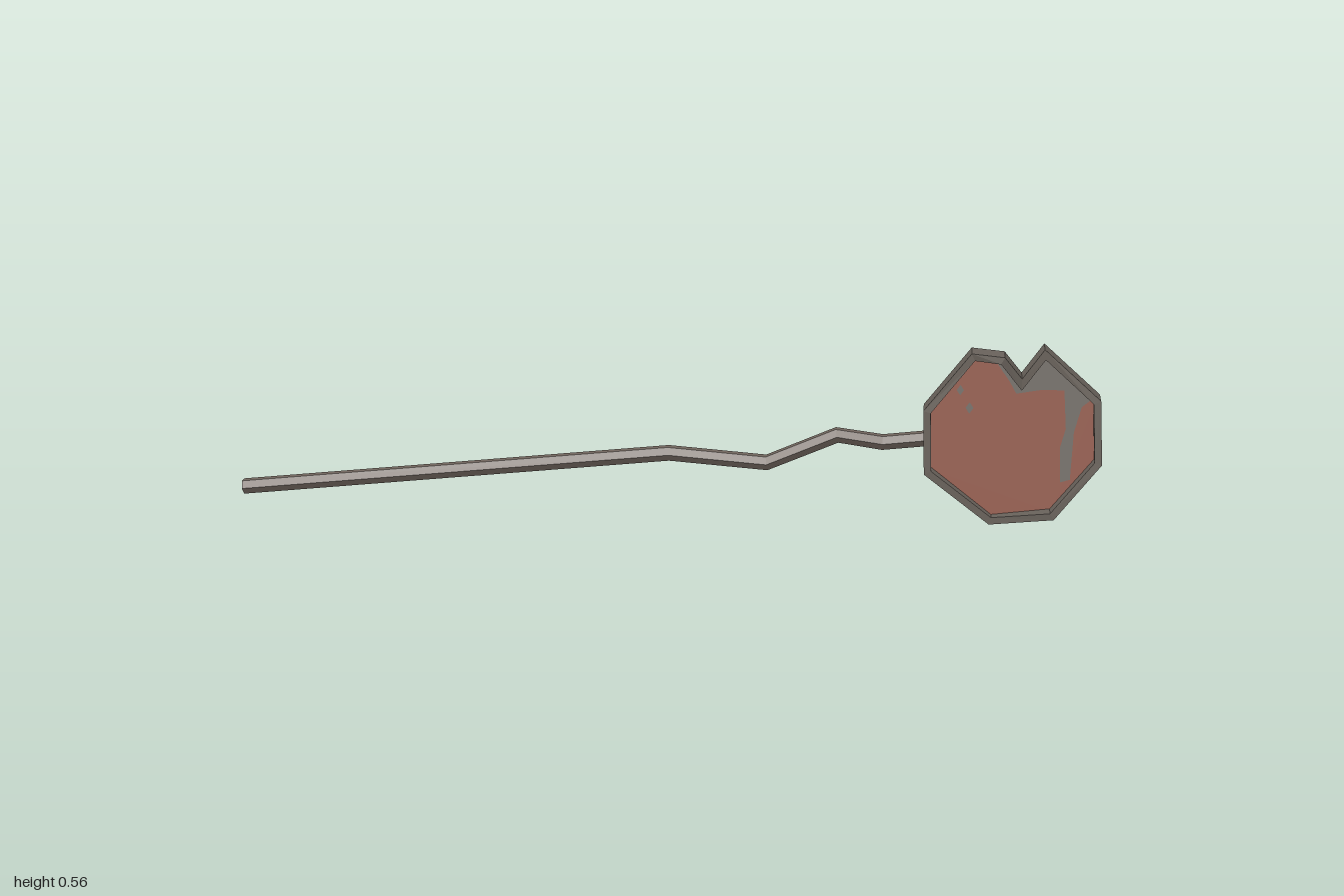
import * as THREE from 'three';

// Joins cross-sections (rings of points) into a faceted skin.
function loft(rings, closed) {
  const n = rings[0].length, pos = [], idx = [];
  rings.forEach(r => r.forEach(p => pos.push(p.x, p.y, p.z)));
  const last = closed ? rings.length : rings.length - 1;
  for (let i = 0; i < last; i++) {
    const k = (i + 1) % rings.length;
    for (let j = 0; j < n; j++) {
      const m = (j + 1) % n;
      const a = i * n + j, b = i * n + m, c = k * n + m, d = k * n + j;
      idx.push(a, b, c, a, c, d);
    }
  }
  if (!closed) {
    const e = (rings.length - 1) * n;
    for (let j = 1; j < n - 1; j++) idx.push(0, j + 1, j, e, e + j, e + j + 1);
  }
  const g = new THREE.BufferGeometry();
  g.setAttribute('position', new THREE.Float32BufferAttribute(pos, 3));
  g.setIndex(idx);
  const flat = g.toNonIndexed();
  flat.computeVertexNormals();
  return flat;
}

// Moves a clockwise outline inwards by t, with mitred corners.
function inset(pts, t) {
  return pts.map((p, i) => {
    const a = pts[(i + pts.length - 1) % pts.length], b = pts[(i + 1) % pts.length];
    const d1 = new THREE.Vector2(p[0] - a[0], p[1] - a[1]).normalize();
    const d2 = new THREE.Vector2(b[0] - p[0], b[1] - p[1]).normalize();
    const n1 = new THREE.Vector2(d1.y, -d1.x), n2 = new THREE.Vector2(d2.y, -d2.x);
    const s = t / (1 + n1.dot(n2));
    return [p[0] + (n1.x + n2.x) * s, p[1] + (n1.y + n2.y) * s, p[2]];
  });
}

// Flat sheet lying in the slightly tilted plane of the sign.
function sheet(pts, offset) {
  const g = new THREE.ShapeGeometry(new THREE.Shape(pts.map(p => new THREE.Vector2(p[0], p[1]))));
  const a = g.attributes.position;
  for (let i = 0; i < a.count; i++) a.setZ(i, -0.02 - 0.072 * a.getY(i) + offset);
  g.computeVertexNormals();
  return g;
}

export function createModel() {
  const model = new THREE.Group();
  model.name = 'bentRoadSign';
  const poleMat = new THREE.MeshStandardMaterial({ color: 0x70655d });
  poleMat.name = 'weathered pole metal';
  const rimMat = new THREE.MeshStandardMaterial({ color: 0x69625b });
  rimMat.name = 'rim metal';
  const redMat = new THREE.MeshStandardMaterial({ color: 0x965f51, side: THREE.DoubleSide });
  redMat.name = 'faded red';
  const bareMat = new THREE.MeshStandardMaterial({ color: 0x75706a, side: THREE.DoubleSide });
  bareMat.name = 'bare metal';

  // Pole and sign share one upright plane, turned diagonally
  const body = new THREE.Group();
  body.name = 'signAndPole';
  body.rotation.y = -Math.PI / 4;
  model.add(body);
  const add = (name, geometry, material) => {
    const m = new THREE.Mesh(geometry, material);
    m.name = name;
    body.add(m);
  };

  // Kinked pole
  const path = [
    [-1.361, 0.04, 0.032], [0.004, 0.195, -0.004], [0.311, 0.175, -0.007],
    [0.527, 0.27, -0.018], [0.668, 0.25, -0.025], [0.808, 0.265, -0.035],
  ].map(p => new THREE.Vector3(...p));
  const poleRings = path.map((p, i) => {
    const a = path[Math.max(i - 1, 0)], b = path[Math.min(i + 1, path.length - 1)];
    const dir = b.clone().sub(a).setZ(0).normalize();
    const up = new THREE.Vector3(-dir.y, dir.x, 0);
    return Array.from({ length: 6 }, (_, j) => {
      const t = (j + 0.5) * Math.PI / 3;
      return p.clone().addScaledVector(up, 0.025 * Math.cos(t))
        .add(new THREE.Vector3(0, 0, 0.025 * Math.sin(t)));
    });
  });
  add('pole', loft(poleRings, false), poleMat);

  // Battered octagon with a torn notch at the top: x, y, front depth
  const outline = [
    [0.79, 0.363, 0], [0.93, 0.542, -0.027], [1.03, 0.54, -0.003],
    [1.085, 0.468, -0.026], [1.15, 0.56, -0.036], [1.325, 0.41, -0.013],
    [1.338, 0.21, 0.002], [1.2, 0.033, 0.022], [1.003, 0.005, 0.008],
    [0.798, 0.16, 0.008],
  ];
  const inner = inset(outline, 0.022);
  const depth = 0.072;
  const rimRings = outline.map((o, i) => {
    const n = inner[i];
    return [
      new THREE.Vector3(o[0], o[1], o[2] - depth), new THREE.Vector3(...o),
      new THREE.Vector3(...n), new THREE.Vector3(n[0], n[1], n[2] - depth),
    ];
  });
  add('signRim', loft(rimRings, true), rimMat);

  // Recessed panel, seen from both sides
  const edge = inset(outline, 0.012);
  add('signPanel', sheet(edge, 0), redMat);

  // Worn paint around the notch with long runs, back and front
  const top = edge.slice(1, 5);
  add('backWornPaint', sheet([
    [0.885, 0.455], ...top, [1.245, 0.455], [1.24, 0.3], [1.23, 0.163], [1.203, 0.17],
    [1.2, 0.3], [1.187, 0.415], [1.17, 0.435], [1.15, 0.35], [1.125, 0.365],
    [1.096, 0.322], [1.06, 0.366], [0.993, 0.415], [0.92, 0.4],
  ], -0.004), bareMat);
  add('frontWornPaint', sheet([
    [1.0, 0.52], edge[2], edge[3], edge[4], [1.305, 0.41], [1.27, 0.38], [1.25, 0.3],
    [1.245, 0.15], [1.215, 0.14], [1.21, 0.25], [1.225, 0.31], [1.215, 0.43],
    [1.15, 0.43], [1.07, 0.415], [1.05, 0.45],
  ], 0.004), bareMat);

  // Small paint chips
  const chips = [[0.93, 0.365, 0.012], [0.935, 0.25, 0.01], [0.94, 0.185, 0.012], [0.9, 0.42, 0.011]];
  for (const [side, offset] of [['back', -0.004], ['front', 0.004]]) {
    chips.forEach(([x, y, r]) => {
      if (side === 'front' && y < 0.3) return;
      add(side + 'PaintChip', sheet([[x - r, y], [x, y + r * 1.5], [x + r, y], [x, y - r * 1.5]], offset), bareMat);
    });
  }
  return model;
}
